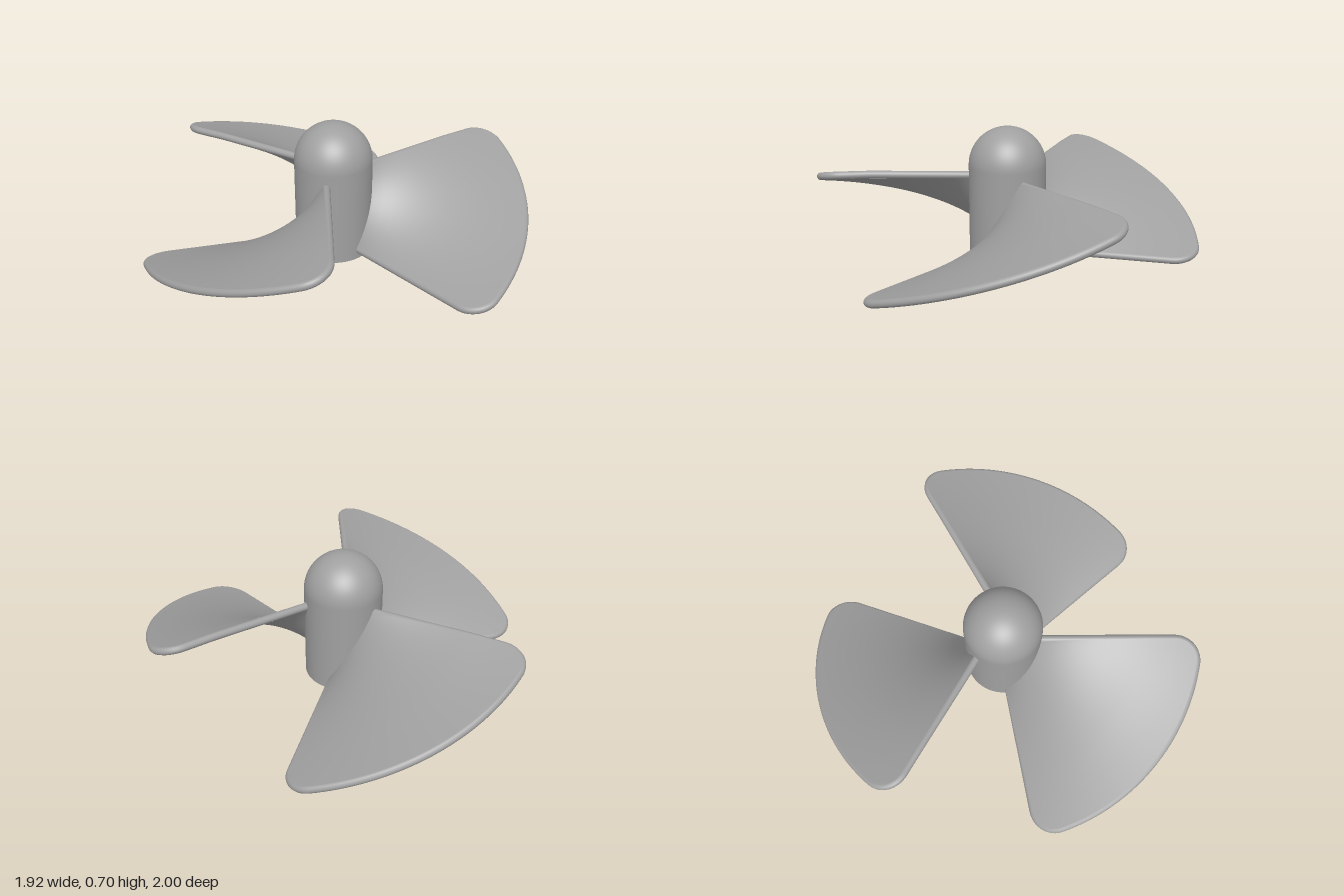
import * as THREE from 'three';

const RAD = Math.PI / 180;
const HALF = 0.02;            // half blade thickness, also the rim radius
const ROOT = 0.12, TIP = 0.98, CORNER = 0.12;

// Straight blade edges, as angle around the shaft at radius r
const highEdge = r => -36.2 * RAD + Math.asin(0.0418 / r);
const lowEdge = r => 42.5 * RAD + Math.asin(0.0079 / r);

// Twisted middle surface: height falls evenly from the high edge to the low one
function surface(r, a) {
  const t = (a - highEdge(r)) / (lowEdge(r) - highEdge(r));
  const top = 0.43 + 0.025 * Math.min(1, r / 0.7);
  return new THREE.Vector3(r * Math.cos(a), THREE.MathUtils.lerp(top, 0.05, t), r * Math.sin(a));
}

function normalAt(r, a) {
  const e = 0.002;
  const dr = surface(r + e, a).sub(surface(r - e, a));
  const da = surface(r, a + e).sub(surface(r, a - e));
  return da.cross(dr).normalize();
}

// Rows of radius with the angle range at each; the range shrinks round the tip corners
function bladeRows() {
  const rows = [];
  const inner = TIP - CORNER;
  for (let i = 0; i < 16; i++) {
    const r = ROOT + (inner - ROOT) * i / 16;
    rows.push({ r, a0: highEdge(r), a1: lowEdge(r) });
  }
  for (let i = 0; i <= 14; i++) {
    const p = i / 14 * Math.PI / 2;
    const r = inner + CORNER * Math.sin(p);
    const inset = CORNER * (1 - Math.cos(p)) / r;
    rows.push({ r, a0: highEdge(r) + inset, a1: lowEdge(r) - inset });
  }
  return rows;
}

// One face of the blade, offset to the upper (+1) or lower (-1) side
function sheet(rows, side) {
  const cols = 32, pos = [], idx = [];
  rows.forEach(({ r, a0, a1 }, i) => {
    for (let j = 0; j <= cols; j++) {
      const a = a0 + (a1 - a0) * j / cols;
      pos.push(...surface(r, a).addScaledVector(normalAt(r, a), side * HALF).toArray());
      if (i === 0 || j === 0) continue;
      const d = i * (cols + 1) + j, c = d - 1, b = d - cols - 1, e = b - 1;
      if (side > 0) idx.push(e, b, c, b, d, c);
      else idx.push(e, c, b, b, c, d);
    }
  });
  const g = new THREE.BufferGeometry();
  g.setAttribute('position', new THREE.Float32BufferAttribute(pos, 3));
  g.setIndex(idx);
  g.computeVertexNormals();
  return g;
}

// Rounded rim following the outline from root to root
function rim(rows) {
  const pts = rows.map(w => surface(w.r, w.a0));
  const last = rows[rows.length - 1];
  for (let j = 1; j < 20; j++) pts.push(surface(last.r, last.a0 + (last.a1 - last.a0) * j / 20));
  for (const w of [...rows].reverse()) pts.push(surface(w.r, w.a1));
  return new THREE.TubeGeometry(new THREE.CatmullRomCurve3(pts), 200, HALF, 12);
}

export function createModel() {
  const metal = new THREE.MeshStandardMaterial({ color: 0xa0a0a0 });
  metal.name = 'grey metal';
  const model = new THREE.Group();
  model.name = 'propeller';
  model.position.x = -0.04;

  const add = (parent, name, geometry) => {
    const mesh = new THREE.Mesh(geometry, metal);
    mesh.name = name;
    parent.add(mesh);
  };
  const lathe = pts => new THREE.LatheGeometry(pts.map(p => new THREE.Vector2(...p)), 64);

  // Hub: cylinder with a domed nose, flat base ring and a blind shaft hole
  const hub = new THREE.Group();
  hub.name = 'hub';
  model.add(hub);
  const shell = [[0.2, 0], [0.2, 0.25]];
  for (let i = 0; i <= 20; i++) {
    const p = i / 20 * Math.PI / 2;
    shell.push([i === 20 ? 0 : 0.2 * Math.cos(p), 0.5 + 0.2 * Math.sin(p)]);
  }
  add(hub, 'hubShell', lathe(shell));
  add(hub, 'hubBase', lathe([[0.05, 0], [0.2, 0]]));
  add(hub, 'shaftHole', lathe([[0.05, 0.4], [0.05, 0]]));
  add(hub, 'shaftHoleEnd', lathe([[0, 0.4], [0.05, 0.4]]));

  // Three equal blades around the hub
  const rows = bladeRows();
  const upper = sheet(rows, 1), lower = sheet(rows, -1), edge = rim(rows);
  for (let k = 0; k < 3; k++) {
    const blade = new THREE.Group();
    blade.name = 'blade' + (k + 1);
    blade.rotation.y = -k * 2 * Math.PI / 3;
    add(blade, 'bladeUpperFace', upper);
    add(blade, 'bladeLowerFace', lower);
    add(blade, 'bladeRim', edge);
    model.add(blade);
  }

  const root = new THREE.Group();
  root.add(model);
  return root;
}
